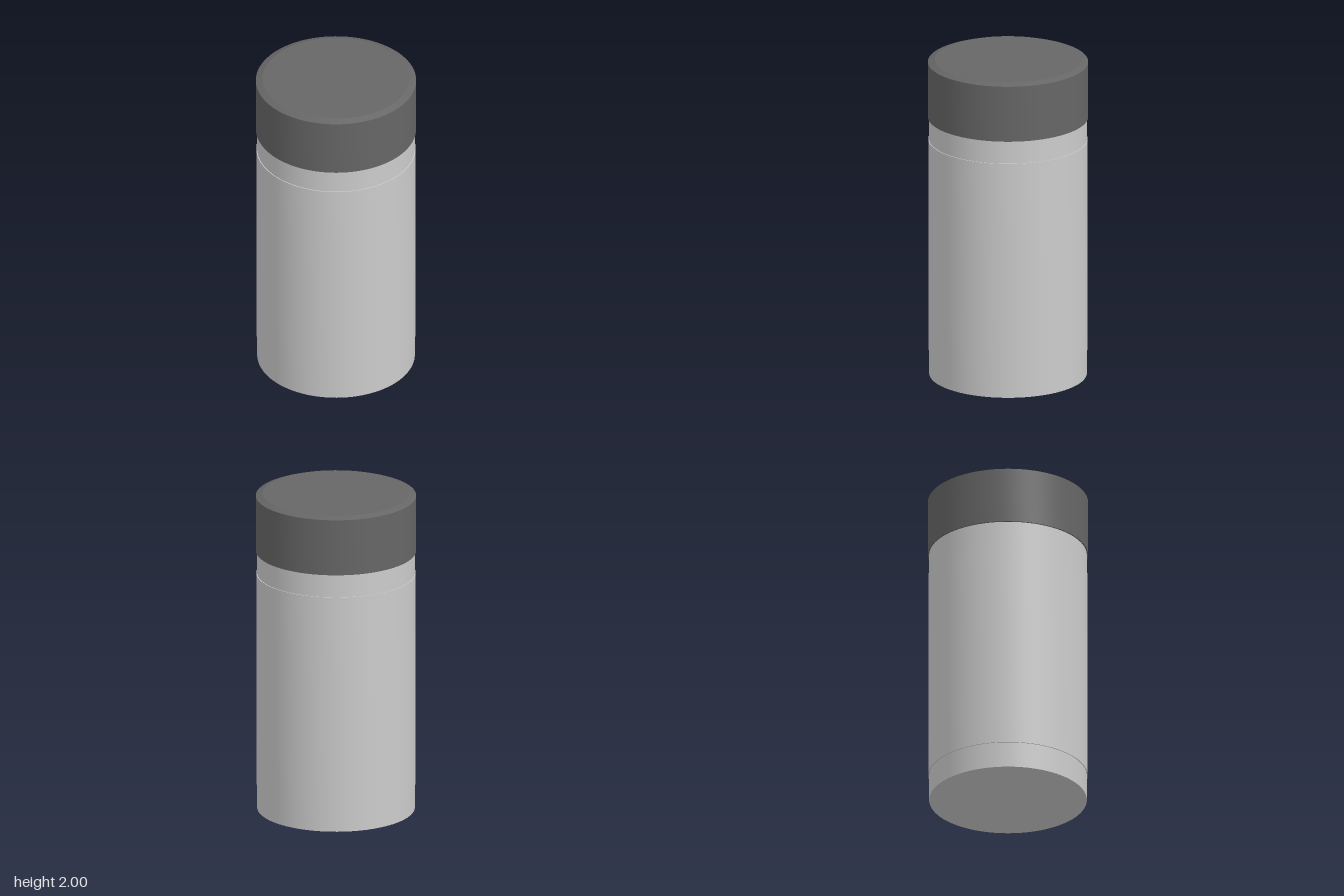
import * as THREE from 'three';
import { toCreasedNormals } from 'three/addons/utils/BufferGeometryUtils.js';

const SEGMENTS = 96;

// Turned part from [radius, height] points listed bottom to top
function turned(name, profile, color) {
  const points = profile.map(([r, y]) => new THREE.Vector2(r, y));
  const geometry = toCreasedNormals(new THREE.LatheGeometry(points, SEGMENTS), 0.2);
  const mesh = new THREE.Mesh(geometry, new THREE.MeshStandardMaterial({ color }));
  mesh.name = name;
  return mesh;
}

export function createModel() {
  const group = new THREE.Group();
  group.name = 'lidded canister';

  // Canister wall with a shallow cone for its base
  group.add(turned('body', [[0, 0], [0.47, 0.03], [0.47, 1.65]], 0xcccccc));

  // Slightly raised sleeve around the wall
  group.add(turned('sleeve', [[0.469, 0.19], [0.475, 0.19], [0.475, 1.5], [0.469, 1.5]], 0xcccccc));

  // Dark lid with a low chamfer around its flat top
  group.add(turned('lid', [[0, 1.64], [0.478, 1.64], [0.478, 1.985], [0.437, 2], [0, 2]], 0x666666));

  return group;
}
